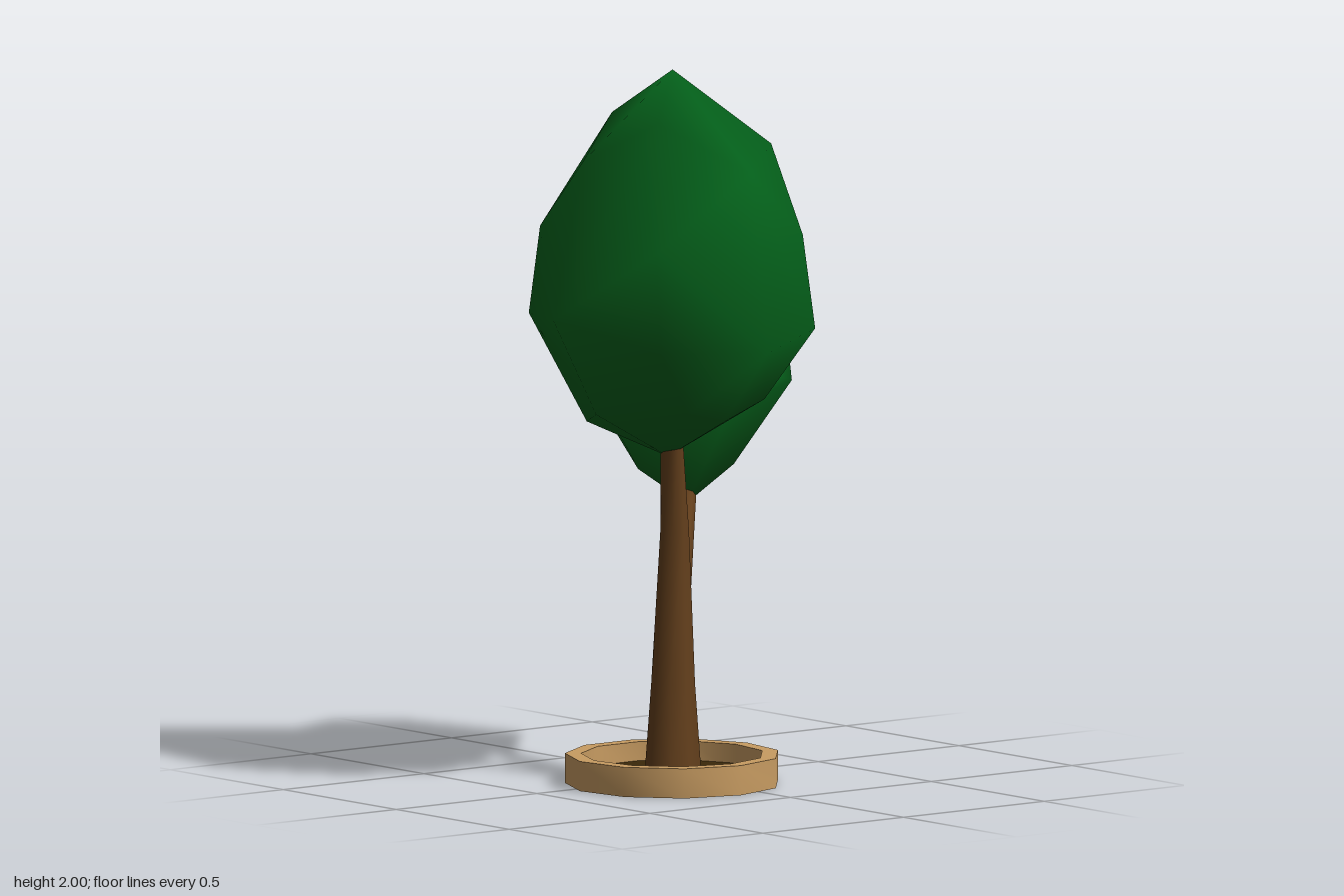
import * as THREE from 'three';
import { mergeVertices, toCreasedNormals } from 'three/addons/utils/BufferGeometryUtils.js';
import { ConvexGeometry } from 'three/addons/geometries/ConvexGeometry.js';

const mat = (name, color, side = THREE.FrontSide) => {
  const m = new THREE.MeshStandardMaterial({ color, side });
  m.name = name;
  return m;
};

// Weld the corners and smooth the shading
function smooth(geo) {
  geo.deleteAttribute('normal');
  geo.deleteAttribute('uv');
  const welded = mergeVertices(geo, 1e-4);
  welded.computeVertexNormals();
  return welded;
}

// Leaf mass: the smooth-shaded hull of a few rough outline points
const crown = (points) =>
  smooth(new ConvexGeometry(points.map((p) => new THREE.Vector3(...p))));

// Tapered bent limb: each stop is [x, y, z, radius], from bottom to top
function limb(stops, sides = 8) {
  const n = stops.length - 1;
  const centres = stops.map(([x, y, z]) => new THREE.Vector3(x, y, z));
  const up = new THREE.Vector3(0, 1, 0);
  const turns = centres.map((c, i) => {
    const along = centres[Math.min(i + 1, n)].clone().sub(centres[Math.max(i - 1, 0)]).normalize();
    return new THREE.Quaternion().setFromUnitVectors(up, along);
  });
  const geo = new THREE.CylinderGeometry(1, 1, 1, sides, n, true);
  const pos = geo.attributes.position;
  const v = new THREE.Vector3();
  for (let i = 0; i < pos.count; i++) {
    const k = Math.round((pos.getY(i) + 0.5) * n);
    v.set(pos.getX(i), 0, pos.getZ(i)).multiplyScalar(stops[k][3]);
    v.applyQuaternion(turns[k]).add(centres[k]);
    pos.setXYZ(i, v.x, v.y, v.z);
  }
  return smooth(geo);
}

export function createModel() {
  const tree = new THREE.Group();
  tree.name = 'pottedTree';
  const leaf = mat('leaf green', 0x04621b);
  const bark = mat('bark brown', 0x633f1c, THREE.DoubleSide);
  const rimTan = mat('rim tan', 0xc89c62);
  const earth = mat('soil brown', 0x3a280a);

  const add = (name, geo, material, x = 0, y = 0, z = 0) => {
    const mesh = new THREE.Mesh(geo, material);
    mesh.name = name;
    mesh.position.set(x, y, z);
    tree.add(mesh);
  };

  // Planter ring and the slab of soil inside it
  const section = [[0.255, 0], [0.3, 0], [0.3, 0.083], [0.255, 0.083], [0.255, 0]]
    .map(([r, y]) => new THREE.Vector2(r, y));
  add('planterRing', toCreasedNormals(new THREE.LatheGeometry(section, 11), 0.7), rimTan, -0.081, 0, 0.081);
  add('soil', new THREE.CylinderGeometry(0.256, 0.256, 0.025, 11), earth, -0.081, 0.0175, 0.081);

  // Trunk and side branch
  add('trunk', limb([
    [-0.082, 0.015, 0.082, 0.08], [-0.08, 0.28, 0.08, 0.061],
    [-0.052, 0.7, 0.052, 0.04], [-0.09, 0.98, 0.085, 0.031],
  ]), bark);
  add('branch', limb([
    [-0.05, 0.36, 0.05, 0.035], [0.0, 0.5, 0.0, 0.036],
    [0.06, 0.62, -0.06, 0.034], [0.18, 0.79, -0.18, 0.026],
  ]), bark);

  // Large upper crown: top, shoulder, middle and underside points
  add('mainCrown', crown([
    [-0.09, 2.0, 0.09],
    [-0.27, 1.88, 0.25], [0.07, 1.89, -0.06], [-0.04, 1.84, -0.24],
    [-0.1, 1.75, 0.45], [0.18, 1.78, 0.19], [-0.32, 1.75, -0.02],
    [-0.49, 1.33, 0.06], [-0.38, 1.54, 0.38], [-0.34, 1.25, 0.35], [-0.07, 1.25, 0.49],
    [0.18, 1.54, 0.33], [0.2, 1.28, 0.36],
    [0.335, 1.29, 0.08], [0.28, 1.53, -0.1], [0.21, 1.42, -0.22], [0.13, 1.5, -0.28],
    [-0.09, 1.34, -0.335], [-0.32, 1.55, -0.21], [-0.36, 1.31, -0.21],
    [0.29, 1.25, -0.07], [0.27, 1.15, -0.06], [0.3, 1.15, 0.06],
    [-0.37, 1.06, 0.1], [-0.21, 1.07, 0.31], [-0.05, 1.03, 0.27], [0.14, 1.07, 0.21],
    [0.15, 1.05, -0.12], [0.05, 1.0, -0.12], [-0.08, 1.09, -0.22], [-0.21, 1.0, -0.14],
    [-0.09, 0.915, 0.07],
  ]), leaf);

  // Small lower crown on the branch
  add('sideCrown', crown([
    [0.2, 1.5, -0.22], [0.3, 1.45, -0.23],
    [0.37, 1.4, -0.01], [0.32, 1.38, -0.38], [0.05, 1.35, -0.2],
    [0.44, 1.33, -0.2], [0.49, 1.14, -0.2], [0.43, 1.16, -0.44], [0.2, 1.14, -0.49],
    [-0.02, 1.24, -0.39], [-0.05, 1.05, -0.32], [0.39, 1.08, 0.02], [0.32, 1.1, 0.05],
    [0.1, 1.03, 0.11], [0.475, 0.97, -0.2], [0.42, 0.96, -0.42], [0.2, 0.97, -0.475],
    [0.43, 0.86, -0.25], [0.25, 0.82, -0.43], [0.3, 0.785, -0.3],
    [0.17, 0.735, -0.17], [0.02, 0.84, -0.2], [0.2, 0.86, 0.0], [-0.03, 0.92, -0.2],
  ]), leaf);

  return tree;
}
